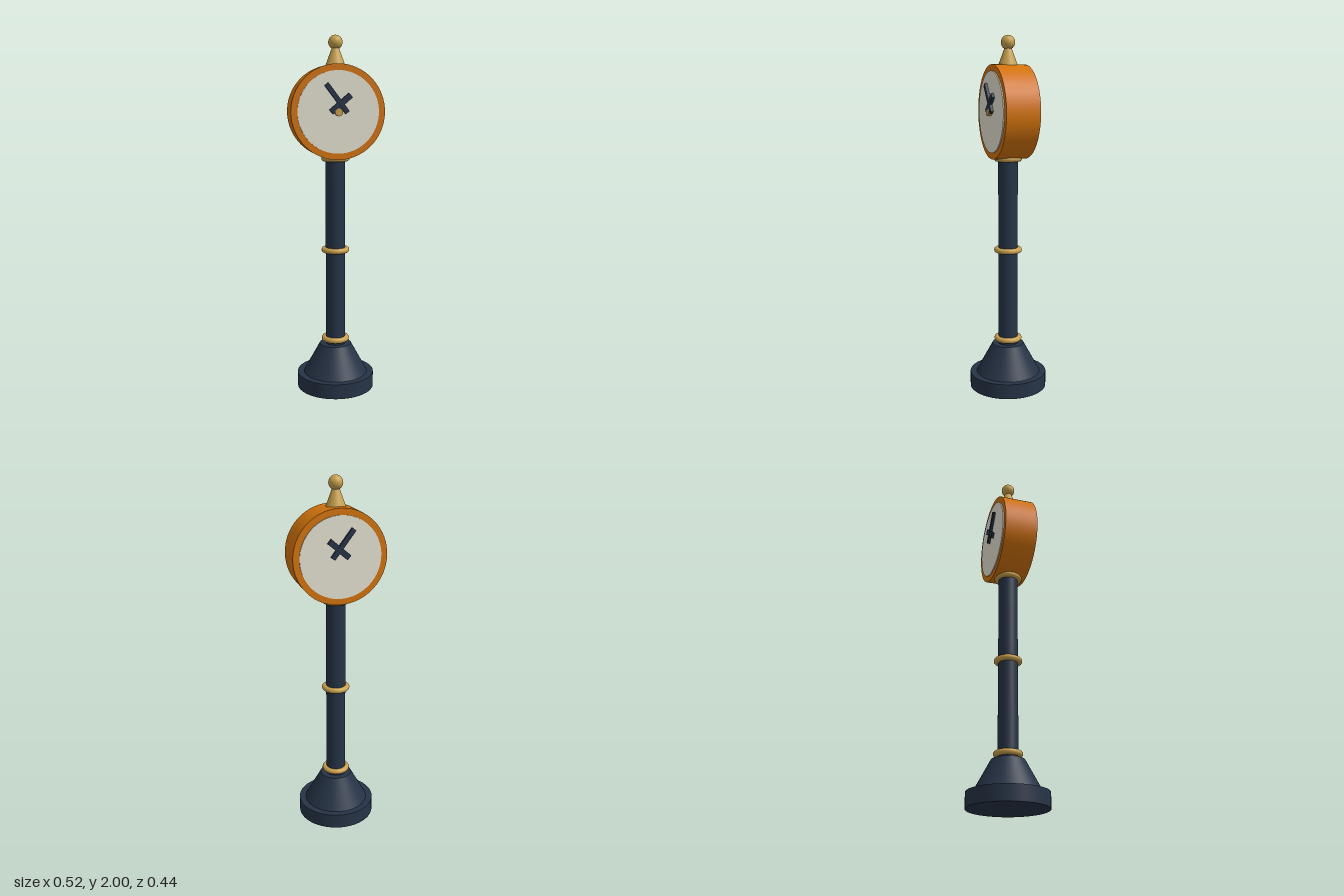
import * as THREE from 'three';

const material = (name, color) => {
  const m = new THREE.MeshStandardMaterial({ color });
  m.name = name;
  return m;
};

export function createModel() {
  const iron = material('dark iron', 0x263346);
  const brass = material('brass', 0xc9a14e);
  const amber = material('amber case', 0xd4740c);
  const ivory = material('ivory', 0xe6e2d3);

  const group = new THREE.Group();
  group.name = 'streetClock';
  const add = (name, geometry, mat, x = 0, y = 0, z = 0) => {
    const mesh = new THREE.Mesh(geometry, mat);
    mesh.name = name;
    mesh.position.set(x, y, z);
    group.add(mesh);
    return mesh;
  };
  // Upright cylinder or cone between two heights
  const column = (name, mat, rBottom, rTop, y0, y1) =>
    add(name, new THREE.CylinderGeometry(rTop, rBottom, y1 - y0, 48), mat, 0, (y0 + y1) / 2);

  // Foot and post
  column('basePlinth', iron, 0.22, 0.22, 0, 0.085);
  column('baseCone', iron, 0.183, 0.09, 0.085, 0.255);
  column('post', iron, 0.055, 0.055, 0.255, 1.34);

  // Brass rings round the post
  for (const y of [0.285, 0.81, 1.33]) {
    add('postRing', new THREE.TorusGeometry(0.063, 0.016, 16, 48).rotateX(Math.PI / 2), brass, 0, y);
  }

  // Drum-shaped case
  const cy = 1.586;
  const disc = (r, depth) => new THREE.CylinderGeometry(r, r, depth, 64).rotateX(Math.PI / 2);
  add('clockCase', disc(0.258, 0.19), amber, 0, cy);

  // A dial and two hands on each side
  for (const side of [1, -1]) {
    add('dial', disc(0.223, 0.008), ivory, 0, cy, side * 0.097);
    add('minuteHand', new THREE.BoxGeometry(0.026, 0.19, 0.015), iron, -0.01, 1.66, side * 0.1095)
      .rotation.z = 0.65;
    add('hourHand', new THREE.BoxGeometry(0.032, 0.14, 0.015), iron, 0.012, 1.632, side * 0.1085)
      .rotation.z = -0.87;
  }
  add('handPivot', disc(0.021, 0.02), brass, 0, cy, 0.11);

  // Finial
  column('finialCone', brass, 0.054, 0.018, 1.838, 1.935);
  add('finialBall', new THREE.SphereGeometry(0.039, 32, 24), brass, 0, 1.961);

  return group;
}
